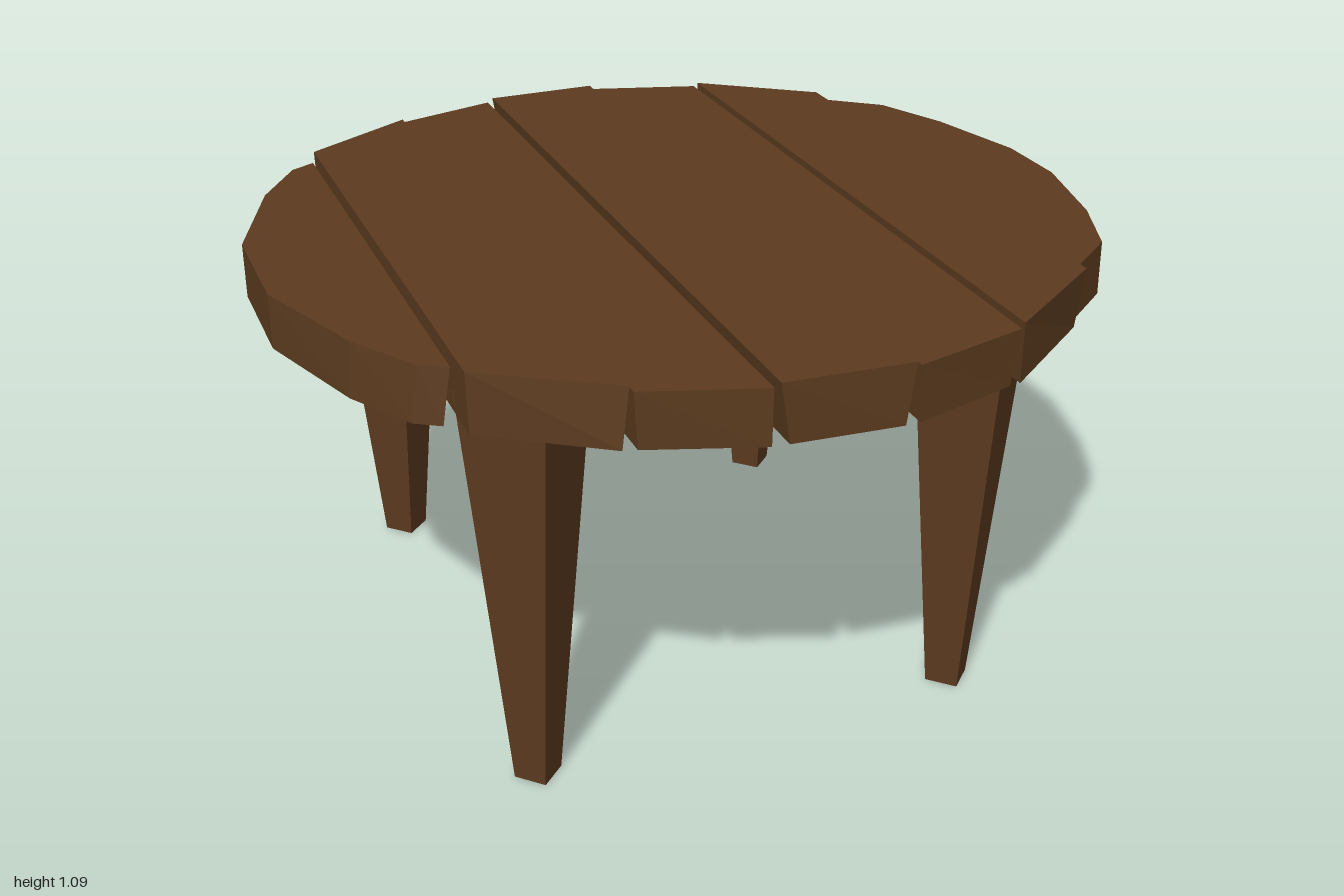
import * as THREE from 'three';

const wood = new THREE.MeshStandardMaterial({ color: 0x5c3b1f, flatShading: true });

// Plank: half outline as [x, z] from left to right, mirrored in z;
// the underside is remapped in x to give slightly slanted edges.
function plank({ half, top, under }) {
  const pts = [...half, ...half.map(([x, z]) => [x, -z]).reverse()];
  const shape = new THREE.Shape(pts.map(([x, z]) => new THREE.Vector2(x, z)));
  const geo = new THREE.ExtrudeGeometry(shape, { depth: top - 0.95, bevelEnabled: false });
  geo.rotateX(Math.PI / 2).translate(0, top, 0);
  const x0 = half[0][0], x1 = half[half.length - 1][0];
  const p = geo.attributes.position;
  for (let i = 0; i < p.count; i++) {
    if (p.getY(i) < 1) {
      const t = (p.getX(i) - x0) / (x1 - x0);
      p.setX(i, THREE.MathUtils.lerp(under[0], under[1], t));
    }
  }
  geo.computeVertexNormals();
  return geo;
}

const planks = [
  { top: 1.08, under: [-1, -0.75], half: [[-1, 0.155], [-0.89, 0.46], [-0.79, 0.62], [-0.73, 0.655]] },
  { top: 1.09, under: [-0.712, -0.45], half: [[-0.715, 0.71], [-0.434, 0.888]] },
  { top: 1.08, under: [-0.42, -0.168], half: [[-0.428, 0.895], [-0.166, 0.98]] },
  { top: 1.09, under: [-0.13, 0.123], half: [[-0.152, 0.982], [0.142, 0.994]] },
  { top: 1.08, under: [0.157, 0.412], half: [[0.152, 0.992], [0.43, 0.912]] },
  { top: 1.09, under: [0.44, 0.702], half: [[0.44, 0.907], [0.72, 0.7]] },
  { top: 1.08, under: [0.735, 1], half: [[0.731, 0.655], [0.855, 0.555], [0.935, 0.365], [1, 0.1]] },
];

export function createModel() {
  const group = new THREE.Group();
  const add = (name, geo) => {
    const mesh = new THREE.Mesh(geo, wood);
    mesh.name = name;
    group.add(mesh);
    return mesh;
  };

  // Round top made of seven boards
  planks.forEach((p, i) => add(`plank${i + 1}`, plank(p)));

  // Tapered square legs, turned so their corners face front and side
  const cx = -0.035, lx = 0.53, lz = 0.607;
  for (const sx of [-1, 1]) {
    for (const sz of [-1, 1]) {
      const name = (sz > 0 ? 'front' : 'back') + (sx > 0 ? 'Left' : 'Right') + 'Leg';
      add(name, new THREE.CylinderGeometry(0.151, 0.056, 1, 4)).position.set(cx + sx * lx, 0.5, sz * lz);
    }
  }

  // Crossed braces joining opposite legs under the boards
  for (const s of [-1, 1]) {
    const brace = add(s > 0 ? 'braceA' : 'braceB', new THREE.BoxGeometry(2 * Math.hypot(lx, lz), 0.08, 0.21));
    brace.position.set(cx, 0.96, 0);
    brace.rotation.y = s * Math.atan2(lz, lx);
  }
  return group;
}
